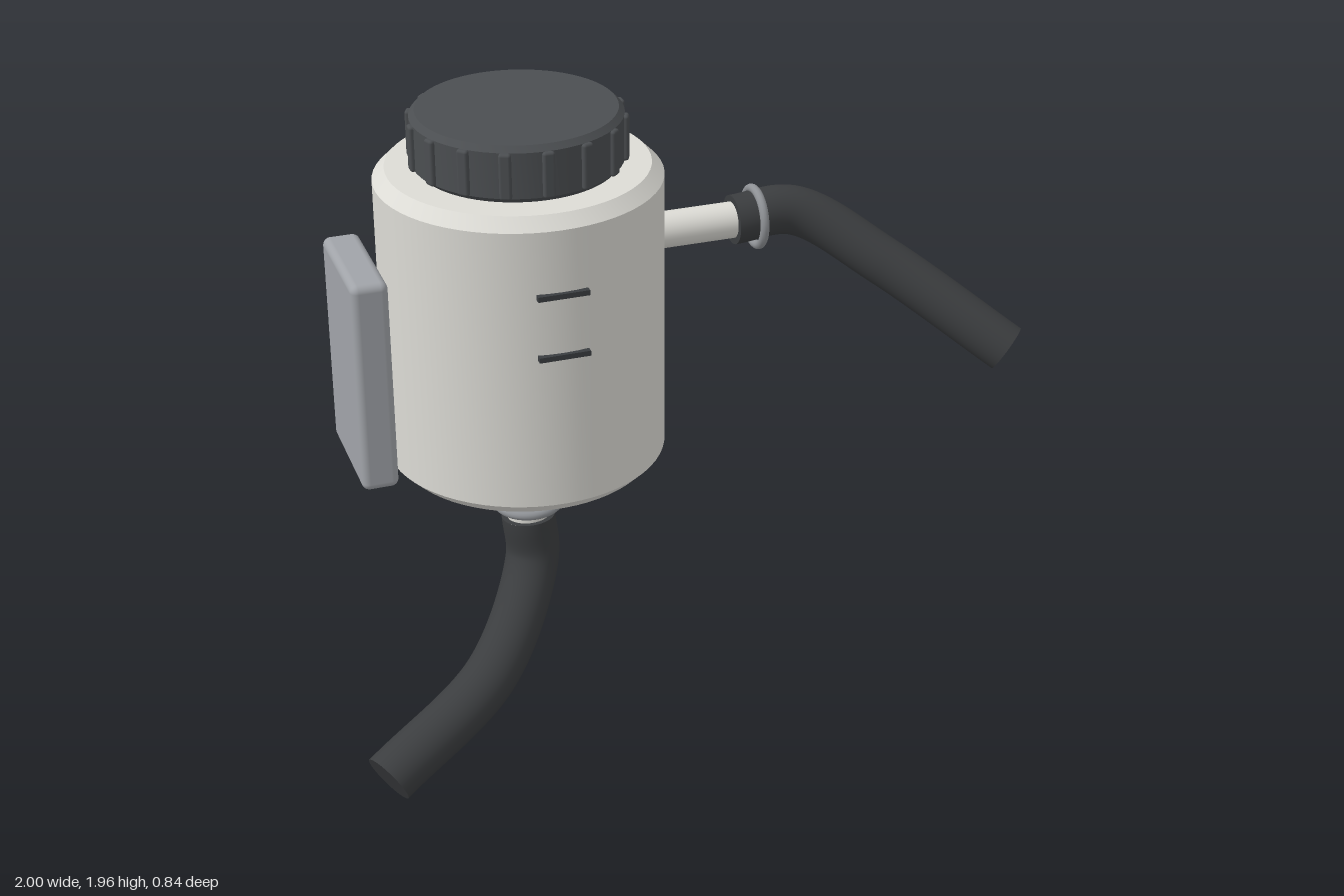
import * as THREE from 'three';
import { toCreasedNormals } from 'three/addons/utils/BufferGeometryUtils.js';
import { RoundedBoxGeometry } from 'three/addons/geometries/RoundedBoxGeometry.js';

const CX = -0.41, CZ = -0.015; // tank axis
const mat = (color) => new THREE.MeshStandardMaterial({ color });
const shell = mat(0xdcdbd5), dark = mat(0x4b4e51), rubber = mat(0x3b3d3f);
const metal = mat(0x8f9296), padGrey = mat(0xa0a3a8), ink = mat(0x3a3d40);

function add(parent, name, geometry, material, x = 0, y = 0, z = 0) {
  const mesh = new THREE.Mesh(geometry, material);
  mesh.name = name;
  mesh.position.set(x, y, z);
  parent.add(mesh);
  return mesh;
}

// Closed solid of revolution with chamfered rims, standing on its own y = 0
function chamfered(r, h, c, v = c) {
  const profile = [[0, 0], [r - c, 0], [r, v], [r, h - v], [r - c, h], [0, h]]
    .map(([x, y]) => new THREE.Vector2(x, y));
  return toCreasedNormals(new THREE.LatheGeometry(profile, 64), 0.5);
}

// Bent hose through a few points, closed at both ends
function hose(name, points, radius) {
  const group = new THREE.Group();
  group.name = name;
  const curve = new THREE.CatmullRomCurve3(points.map((p) => new THREE.Vector3(...p)));
  add(group, name + 'Tube', new THREE.TubeGeometry(curve, 64, radius, 32), rubber);
  for (const t of [0, 1]) {
    const p = curve.getPointAt(t);
    const out = curve.getTangentAt(t).multiplyScalar(t ? 1 : -1);
    const end = add(group, name + 'End', new THREE.CircleGeometry(radius, 32), rubber, p.x, p.y, p.z);
    end.quaternion.setFromUnitVectors(new THREE.Vector3(0, 0, 1), out);
  }
  return group;
}

export function createModel() {
  const model = new THREE.Group();
  model.name = 'reservoirTank';

  // Tank body
  add(model, 'tank', chamfered(0.405, 0.905, 0.035), shell, CX, 0.895, CZ);

  // Screw cap with grip ribs
  const cap = new THREE.Group();
  cap.name = 'cap';
  cap.position.set(CX, 1.8, CZ);
  model.add(cap);
  add(cap, 'capBody', chamfered(0.296, 0.163, 0.016), dark);
  for (let i = 0; i < 16; i++) {
    const a = (i / 16) * Math.PI * 2;
    const rib = add(cap, 'gripRib', new RoundedBoxGeometry(0.034, 0.132, 0.032, 2, 0.008), dark,
      Math.sin(a) * 0.292, 0.081, Math.cos(a) * 0.292);
    rib.rotation.y = a;
  }

  // Level marks on the front
  for (const y of [1.395, 1.577]) {
    add(model, 'levelMark', new THREE.BoxGeometry(0.145, 0.015, 0.02), ink, CX, y, 0.392);
  }

  // Mounting pad on the right side
  add(model, 'mountingPad', new RoundedBoxGeometry(0.105, 0.635, 0.365, 4, 0.022), padGrey,
    -0.885, 1.258, CZ);

  // Side outlet: pipe, clamp ring and hose
  const sidePipe = add(model, 'sidePipe', new THREE.CylinderGeometry(0.053, 0.053, 0.32, 32), shell,
    0.1, 1.53, CZ);
  sidePipe.rotation.z = Math.PI / 2;
  const sideRing = add(model, 'sideClamp', new THREE.TorusGeometry(0.083, 0.013, 12, 48), metal,
    0.295, 1.53, CZ);
  sideRing.rotation.y = Math.PI / 2;
  model.add(hose('sideHose', [
    [0.225, 1.53, CZ], [0.42, 1.53, -0.018], [0.65, 1.39, 0.115], [0.95, 1.165, 0.345],
  ], 0.072));

  // Bottom outlet: pipe, clamp ring and hose
  add(model, 'bottomPipe', new THREE.CylinderGeometry(0.064, 0.064, 0.3, 32), shell, CX, 0.78, CZ);
  const bottomRing = add(model, 'bottomClamp', new THREE.TorusGeometry(0.092, 0.014, 12, 48), metal,
    CX, 0.715, CZ);
  bottomRing.rotation.x = Math.PI / 2;
  model.add(hose('bottomHose', [
    [CX, 0.668, CZ], [-0.405, 0.52, -0.005], [-0.59, 0.27, 0.185], [-0.955, 0.08, 0.345],
  ], 0.08));

  return model;
}
